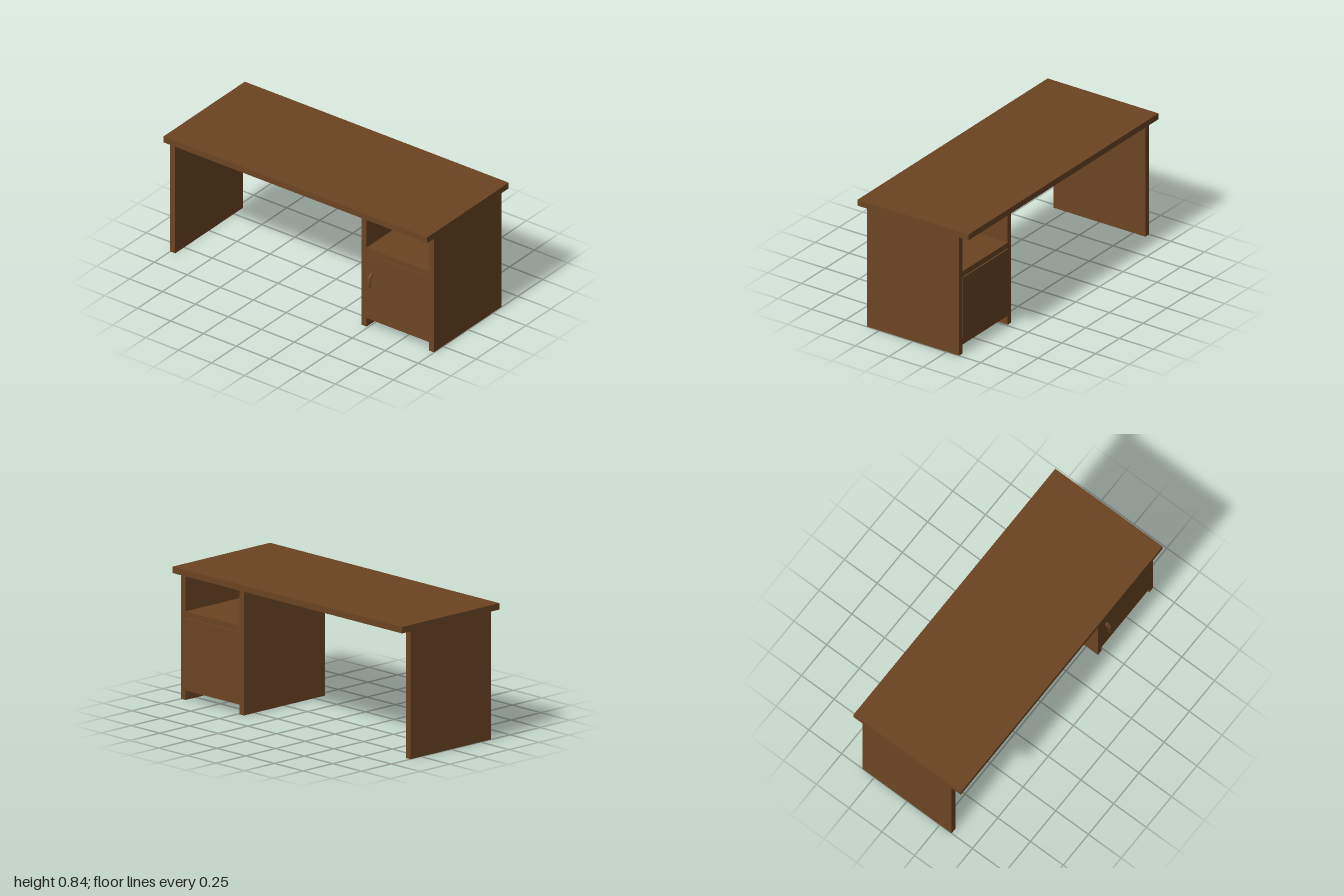
import * as THREE from 'three';

export function createModel() {
  const desk = new THREE.Group();
  desk.name = 'desk';
  const wood = new THREE.MeshStandardMaterial({ color: 0x6b4423 });
  wood.name = 'brown wood';

  // Adds a board spanning the given x, y and z ranges
  function board(name, [x0, x1], [y0, y1], [z0, z1]) {
    const mesh = new THREE.Mesh(new THREE.BoxGeometry(x1 - x0, y1 - y0, z1 - z0), wood);
    mesh.position.set((x0 + x1) / 2, (y0 + y1) / 2, (z0 + z1) / 2);
    mesh.name = name;
    desk.add(mesh);
  }

  const depth = [-0.34, 0.34];
  const bay = [0.488, 0.96]; // cupboard interior width

  board('tabletop', [-1, 1], [0.8, 0.84], [-0.41, 0.41]);

  // Upright side panels
  board('rightLegPanel', [-1, -0.962], [0, 0.8], depth);
  board('cupboardInnerPanel', [0.45, 0.488], [0, 0.8], depth);
  board('leftLegPanel', [0.96, 0.998], [0, 0.8], depth);

  // Cupboard: shelf, floor, back and door, with a narrow gap under the shelf
  board('shelf', bay, [0.518, 0.555], depth);
  board('cupboardFloor', bay, [0.06, 0.1], depth);
  board('backPanel', bay, [0.1, 0.512], [-0.342, -0.325]);
  board('door', bay, [0.1, 0.512], [0.322, 0.34]);

  // Curved door handle: side profile (z, y) extruded across its width
  const profile = new THREE.Shape();
  profile.moveTo(0.338, 0.391);
  profile.bezierCurveTo(0.35, 0.391, 0.33 + 0.025, 0.384, 0.363, 0.375);
  profile.bezierCurveTo(0.372, 0.366, 0.375, 0.36, 0.376, 0.345);
  profile.lineTo(0.379, 0.306);
  profile.lineTo(0.37, 0.306);
  profile.lineTo(0.368, 0.345);
  profile.bezierCurveTo(0.367, 0.357, 0.364, 0.363, 0.358, 0.368);
  profile.bezierCurveTo(0.351, 0.377, 0.347, 0.382, 0.338, 0.383);
  profile.closePath();
  const handleGeometry = new THREE.ExtrudeGeometry(profile, {
    depth: 0.022, bevelEnabled: false, curveSegments: 6,
  });
  handleGeometry.rotateY(-Math.PI / 2);
  const handle = new THREE.Mesh(handleGeometry, wood);
  handle.position.x = 0.54;
  handle.name = 'doorHandle';
  desk.add(handle);

  return desk;
}
